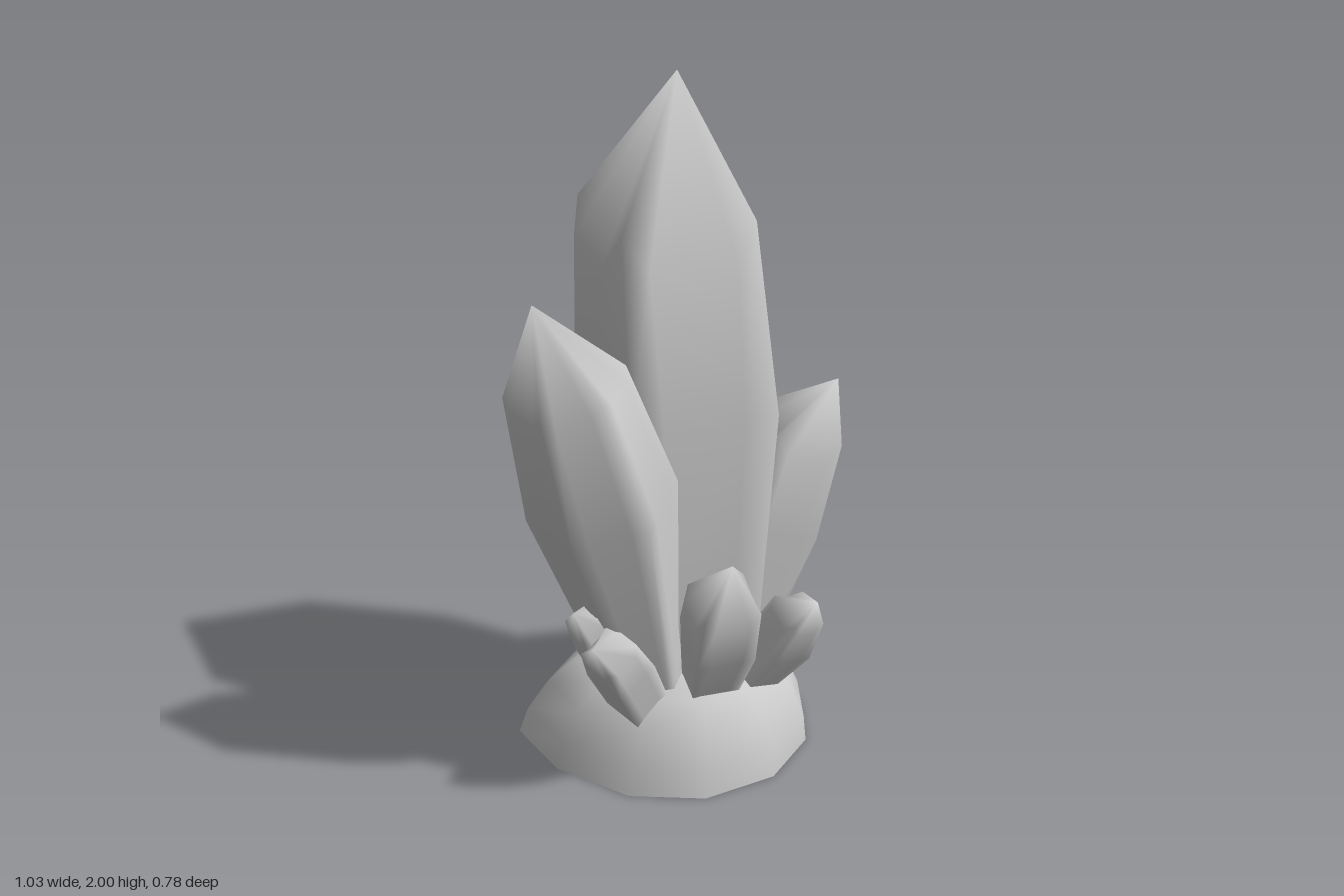
import * as THREE from 'three';

const material = new THREE.MeshStandardMaterial({ color: 0xcccccc, side: THREE.DoubleSide });

// Skin a stack of equal closed rings, finished with a point at the top
function skin(name, rings, tip, closeBottom) {
  const n = rings[0].length;
  const points = [...rings.flat(), tip];
  const index = [];
  const last = (rings.length - 1) * n;
  for (let r = 0; r < rings.length - 1; r++) {
    for (let i = 0; i < n; i++) {
      const a = r * n + i, b = r * n + (i + 1) % n;
      index.push(a, a + n, b, b, a + n, b + n);
    }
  }
  for (let i = 0; i < n; i++) index.push(last + i, points.length - 1, last + (i + 1) % n);
  if (closeBottom) {
    // separate corners keep the cut end flat
    const start = points.length;
    points.push(...rings[0].map((p) => p.clone()));
    for (let i = 1; i < n - 1; i++) index.push(start, start + i, start + i + 1);
  }
  const geometry = new THREE.BufferGeometry().setFromPoints(points);
  geometry.setIndex(index);
  geometry.computeVertexNormals();
  const mesh = new THREE.Mesh(geometry, material);
  mesh.name = name;
  return mesh;
}

// Prism crystal: sections are [x, y, z, halfWidth, halfDepth], square to the axis.
// At the top section (the shoulder) the corners are drawn in and raised.
function crystal({ name, sections, tip, twist = 0, sides = 4 }) {
  const centres = sections.map((s) => new THREE.Vector3(s[0], s[1], s[2]));
  const axis = centres[centres.length - 1].clone().sub(centres[0]).normalize();
  const up = new THREE.Vector3(0, 1, 0);
  const tilt = new THREE.Quaternion().setFromUnitVectors(up, axis);
  const corner = (k) => {
    const angle = (2 * k + 1) * Math.PI / sides;
    return new THREE.Vector3(Math.cos(angle), 0, Math.sin(angle)).divideScalar(Math.cos(Math.PI / sides));
  };
  const rings = sections.map(([, , , halfWidth, halfDepth], level) => {
    const ring = [];
    for (let k = 0; k < sides; k++) {
      const point = corner(k);
      if (level === sections.length - 1) {
        point.multiplyScalar(sides === 4 ? 0.85 : 0.95);
        point.y = 0.42 * halfWidth * (4 / sides) ** 2;
      }
      const before = corner(k).lerp(corner(k - 1), 0.225);
      const after = corner(k).lerp(corner(k + 1), 0.225);
      for (const v of [before, point, after]) {
        v.x *= halfWidth;
        v.z *= halfDepth;
        ring.push(v.applyAxisAngle(up, twist).applyQuaternion(tilt).add(centres[level]));
      }
    }
    return ring;
  });
  return skin(name, rings, new THREE.Vector3(...tip), true);
}

export function createModel() {
  const group = new THREE.Group();
  group.name = 'crystalCluster';

  // Hollow rock dome, open below, leaning a little towards the front left
  const outline = [
    [0.42, 0.02], [0.36, 0.21], [0.2, 0.35], [-0.02, 0.385], [-0.22, 0.3],
    [-0.37, 0.1], [-0.415, -0.12], [-0.23, -0.31], [-0.03, -0.4], [0.2, -0.37], [0.4, -0.2],
  ];
  const profile = [[1, 0], [0.96, 0.08], [0.84, 0.175], [0.68, 0.245], [0.45, 0.28]];
  const domeRings = profile.map(([scale, y]) => outline.map(([x, z]) =>
    new THREE.Vector3(x * scale + 0.1 * y, y, z * scale + 0.05 * y)));
  group.add(skin('rockBase', domeRings, new THREE.Vector3(0.03, 0.29, 0), false));

  const crystals = [
    {
      name: 'mainCrystal', tip: [0.03, 2, 0],
      sections: [[0.01, 0.11, -0.01, 0.13, 0.13], [0.03, 0.45, 0, 0.185, 0.19],
        [0.03, 1.08, -0.012, 0.212, 0.238], [0.005, 1.53, -0.015, 0.22, 0.213]],
    },
    {
      name: 'tallSideCrystal', tip: [-0.45, 1.51, 0.25], twist: 0.31, sides: 6,
      sections: [[-0.06, 0.17, 0.08, 0.09, 0.09], [-0.245, 0.88, 0.17, 0.183, 0.183],
        [-0.355, 1.25, 0.225, 0.15, 0.15]],
    },
    {
      name: 'mediumSideCrystal', tip: [0.51, 1.06, 0.02],
      sections: [[0.17, 0.17, -0.035, 0.07, 0.1], [0.32, 0.63, -0.035, 0.11, 0.13],
        [0.39, 0.86, -0.03, 0.12, 0.125]],
    },
    {
      name: 'smallFrontCrystal', tip: [0.06, 0.72, 0.36],
      sections: [[0.06, 0.17, 0.14, 0.06, 0.06], [0.06, 0.42, 0.25, 0.085, 0.085],
        [0.06, 0.55, 0.29, 0.097, 0.085]],
    },
    {
      name: 'smallLeftCrystal', tip: [0.32, 0.55, 0.35], twist: 0.3,
      sections: [[0.1, 0.05, 0.07, 0.045, 0.045], [0.265, 0.36, 0.22, 0.07, 0.07],
        [0.29, 0.46, 0.255, 0.068, 0.068]],
    },
    {
      name: 'smallRightCrystal', tip: [-0.34, 0.54, 0.36], twist: 0.4,
      sections: [[-0.12, 0.17, 0.14, 0.06, 0.06], [-0.225, 0.39, 0.255, 0.068, 0.068],
        [-0.265, 0.47, 0.29, 0.065, 0.065]],
    },
    {
      name: 'tinyRearCrystal', tip: [-0.355, 0.59, 0.24], twist: 0.2,
      sections: [[-0.14, 0.18, 0.09, 0.045, 0.045], [-0.245, 0.41, 0.17, 0.058, 0.058],
        [-0.295, 0.52, 0.205, 0.055, 0.055]],
    },
  ];
  for (const spec of crystals) group.add(crystal(spec));
  return group;
}
